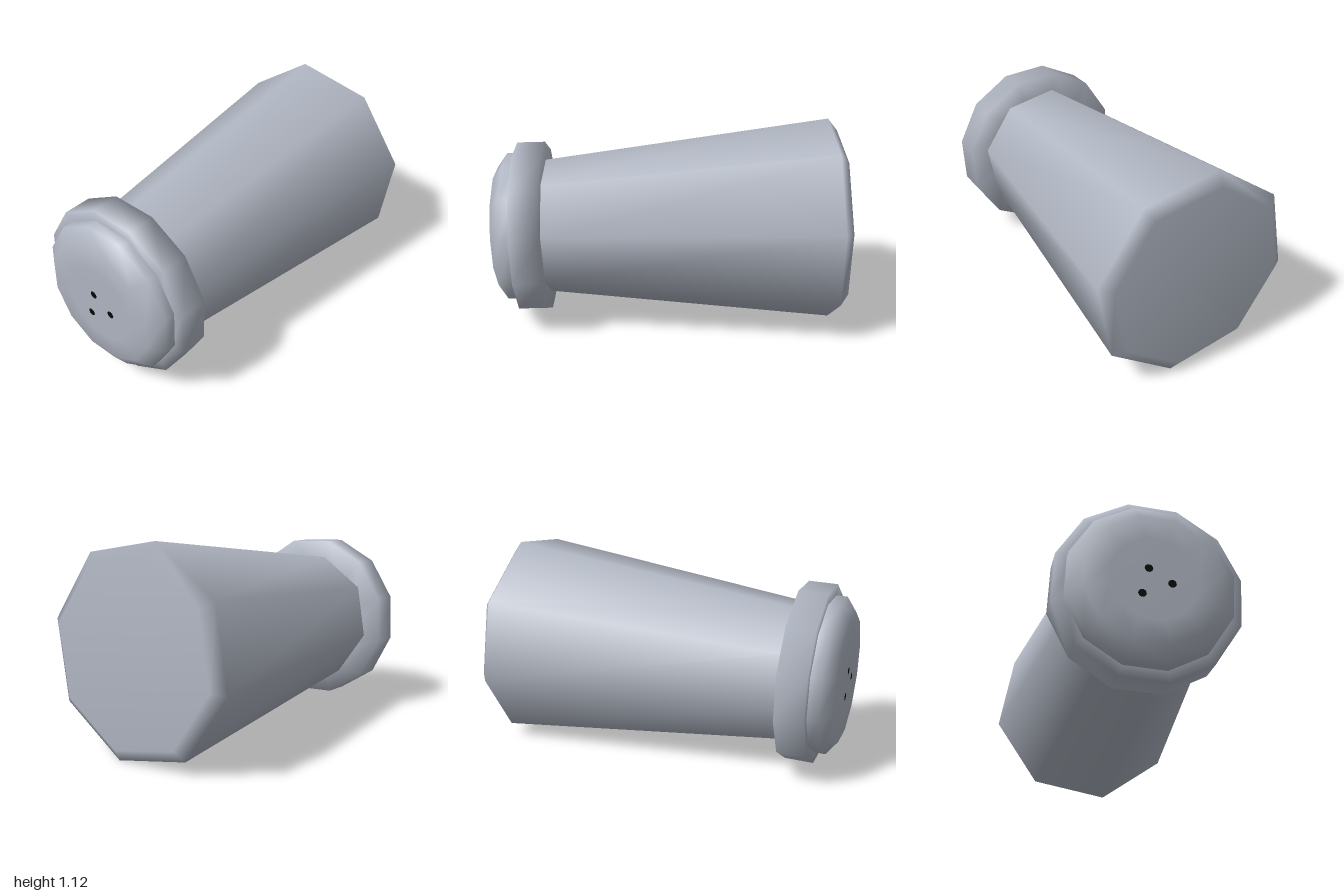
import * as THREE from 'three';

const metal = new THREE.MeshStandardMaterial({ color: 0xb0b6c2 });
metal.name = 'pale steel';
const black = new THREE.MeshStandardMaterial({ color: 0x050505 });
black.name = 'hole black';

const TWIST = THREE.MathUtils.degToRad(102.3);

// Turned part: profile of [radius, distance along the axis], axis laid along +z
function turned(name, profile, sides) {
  const points = profile.map(([r, t]) => new THREE.Vector2(r, t));
  const geometry = new THREE.LatheGeometry(points, sides, TWIST).rotateX(Math.PI / 2);
  const mesh = new THREE.Mesh(geometry, metal);
  mesh.name = name;
  return mesh;
}

export function createModel() {
  const model = new THREE.Group();
  model.name = 'shaker';

  // The shaker lies on its side, slightly turned and dipping toward the cap
  const shaker = new THREE.Group();
  shaker.name = 'lyingShaker';
  shaker.position.set(0.045, 0.56, -0.95);
  shaker.quaternion.setFromUnitVectors(
    new THREE.Vector3(0, 0, 1),
    new THREE.Vector3(-0.096, -0.023, 1).normalize()
  );
  model.add(shaker);

  // Eight-sided tapering body with a bevelled base
  shaker.add(turned('body', [[0, 0], [0.505, 0], [0.573, 0.05], [0.38, 1.66]], 8));

  // Twelve-sided collar and domed cap
  shaker.add(turned('collar', [[0.3, 1.648], [0.483, 1.648], [0.483, 1.804], [0.4, 1.804]], 12));
  shaker.add(turned('cap', [[0.424, 1.8], [0.424, 1.864], [0.345, 1.922], [0.22, 1.925], [0, 1.925]], 12));

  // Pouring holes in the cap face
  const holes = new THREE.Group();
  holes.name = 'pouringHoles';
  for (const [x, y] of [[-0.029, 0.049], [0.084, -0.021], [-0.061, -0.086]]) {
    const hole = new THREE.Mesh(new THREE.CircleGeometry(0.021, 10), black);
    hole.name = 'hole';
    hole.position.set(x, y, 1.929);
    holes.add(hole);
  }
  shaker.add(holes);

  return model;
}
